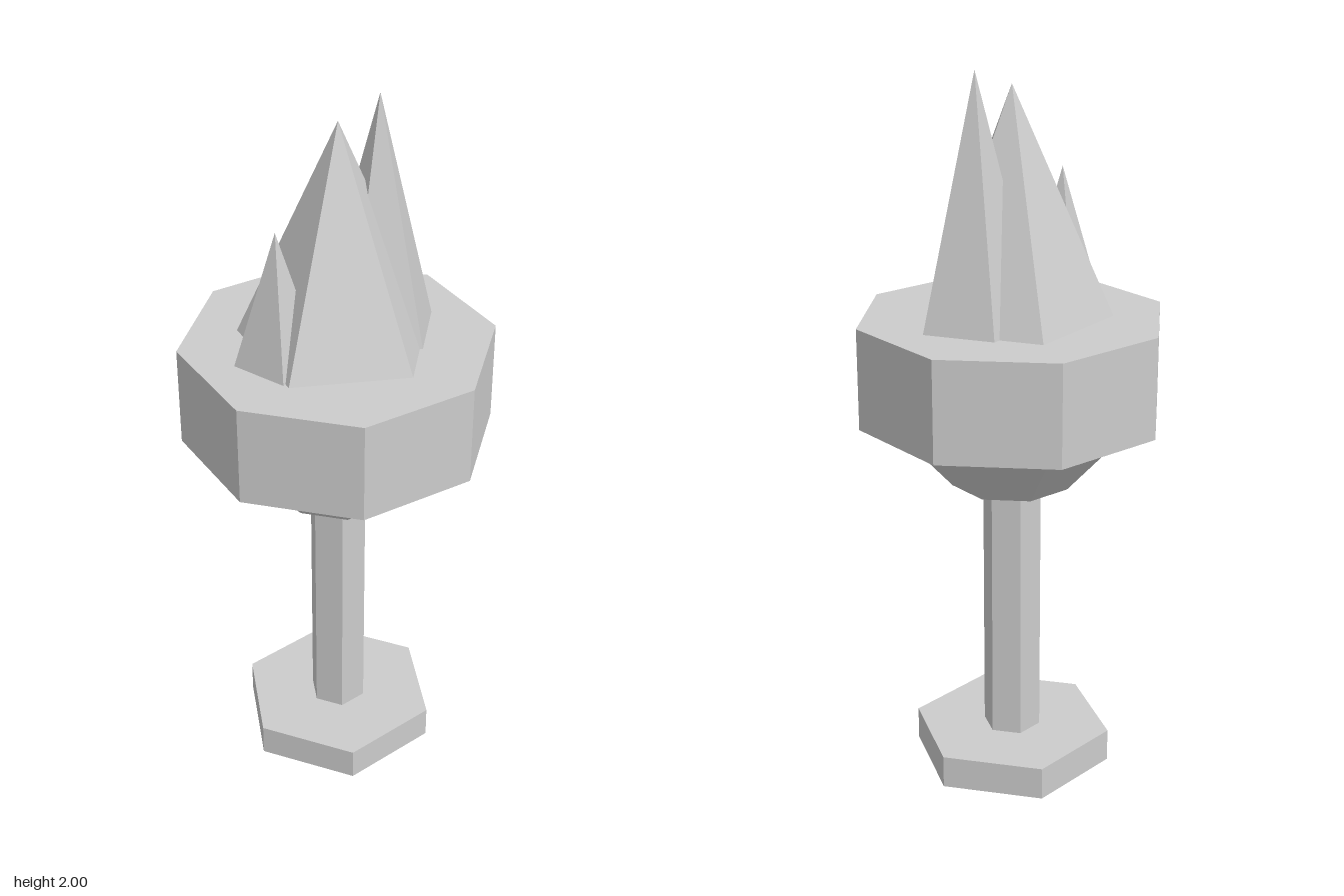
import * as THREE from 'three';

const material = new THREE.MeshStandardMaterial({ color: 0xcccccc, flatShading: true });

// Faceted prism or frustum spanning y0..y1
function prism(name, rTop, rBottom, y0, y1, sides) {
  const mesh = new THREE.Mesh(new THREE.CylinderGeometry(rTop, rBottom, y1 - y0, sides), material);
  mesh.name = name;
  mesh.position.y = (y0 + y1) / 2;
  return mesh;
}

// Pyramid spike rising from the rim, with one corner pointing to the back
function spike(name, radius, tip, sides, x, z) {
  const rim = 1.335;
  const mesh = new THREE.Mesh(new THREE.ConeGeometry(radius, tip - rim, sides, 1, true), material);
  mesh.name = name;
  mesh.position.set(x, (rim + tip) / 2, z);
  mesh.rotation.y = Math.PI;
  return mesh;
}

export function createModel() {
  const model = new THREE.Group();
  model.name = 'torch';

  // Hexagonal foot and stem
  model.add(prism('foot', 0.285, 0.285, 0, 0.095, 6));
  model.add(prism('stem', 0.082, 0.082, 0.095, 0.862, 6));

  // Octagonal bowl and the wide collar above it
  model.add(prism('bowl', 0.342, 0.171, 0.862, 1.053, 8));
  model.add(prism('collar', 0.427, 0.427, 1.053, 1.335, 8));

  // Flames
  model.add(spike('mainFlame', 0.272, 1.953, 5, 0, 0));
  model.add(spike('tallFlame', 0.167, 2, 5, 0.113, -0.048));
  model.add(spike('smallFlame', 0.113, 1.71, 4, -0.172, 0.095));

  return model;
}
